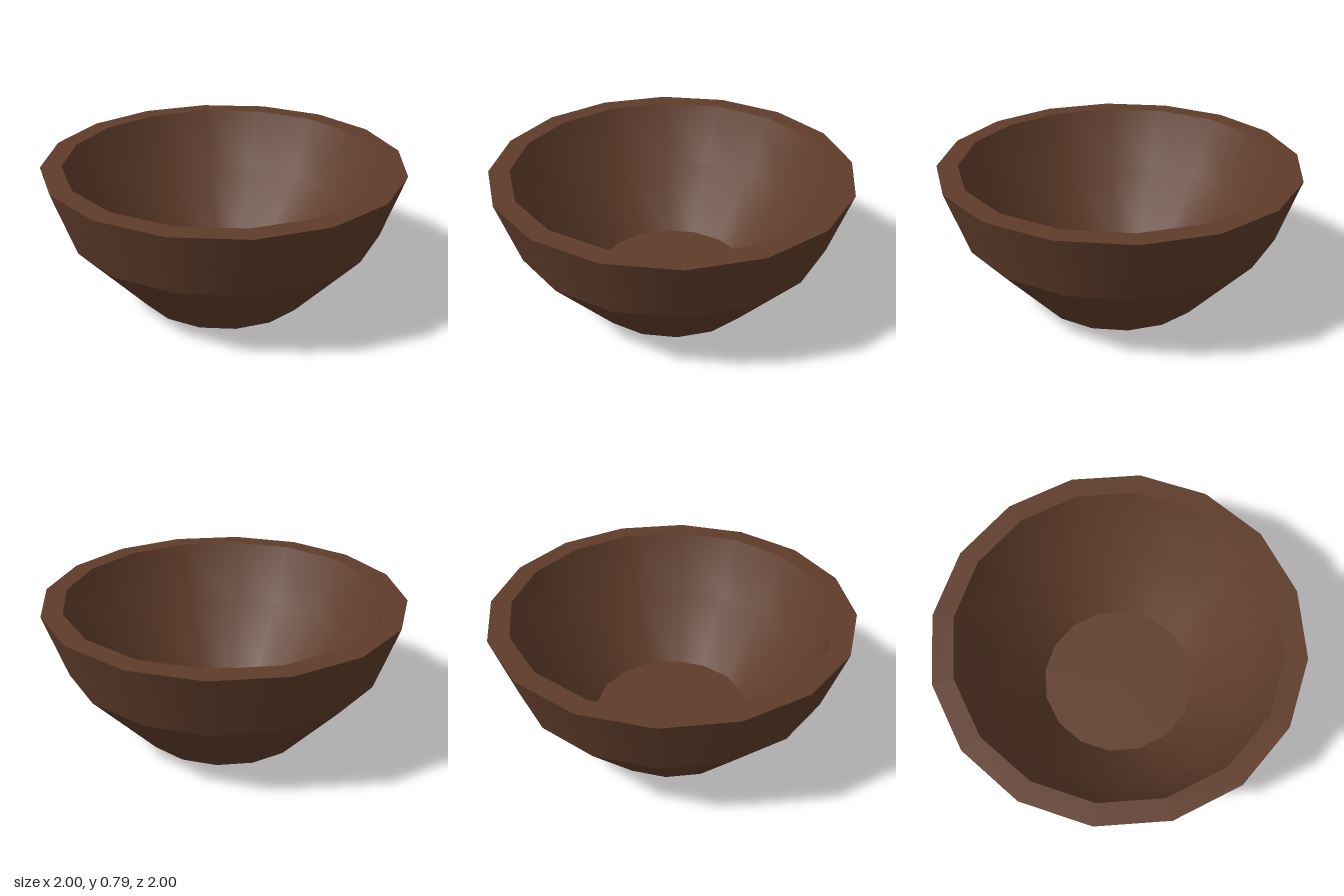
import * as THREE from 'three';

const SIDES = 16;

export function createModel() {
  const bowl = new THREE.Group();
  bowl.name = 'bowl';

  const color = 0x5f3c2a;
  const smooth = new THREE.MeshStandardMaterial({ color });
  const faceted = new THREE.MeshStandardMaterial({ color, flatShading: true });

  // Each band revolves a short profile of [radius, height] points
  function addBand(name, material, ...profile) {
    const points = profile.map(([r, y]) => new THREE.Vector2(r, y));
    const mesh = new THREE.Mesh(new THREE.LatheGeometry(points, SIDES), material);
    mesh.name = name;
    bowl.add(mesh);
  }

  // Profile corners, running from the foot up and over the rim to the floor
  const foot = [0.5, 0], shoulder = [0.88, 0.43], outerRim = [1, 0.79];
  const innerRim = [0.885, 0.79], innerShoulder = [0.73, 0.45], floorEdge = [0.45, 0.1];

  addBand('base', faceted, [0, 0], foot);
  addBand('lowerOuterWall', faceted, foot, shoulder);
  addBand('upperOuterWall', smooth, shoulder, outerRim);
  addBand('rim', faceted, outerRim, innerRim);
  addBand('innerWall', smooth, innerRim, innerShoulder, floorEdge);
  addBand('floor', faceted, floorEdge, [0, 0.1]);

  return bowl;
}
